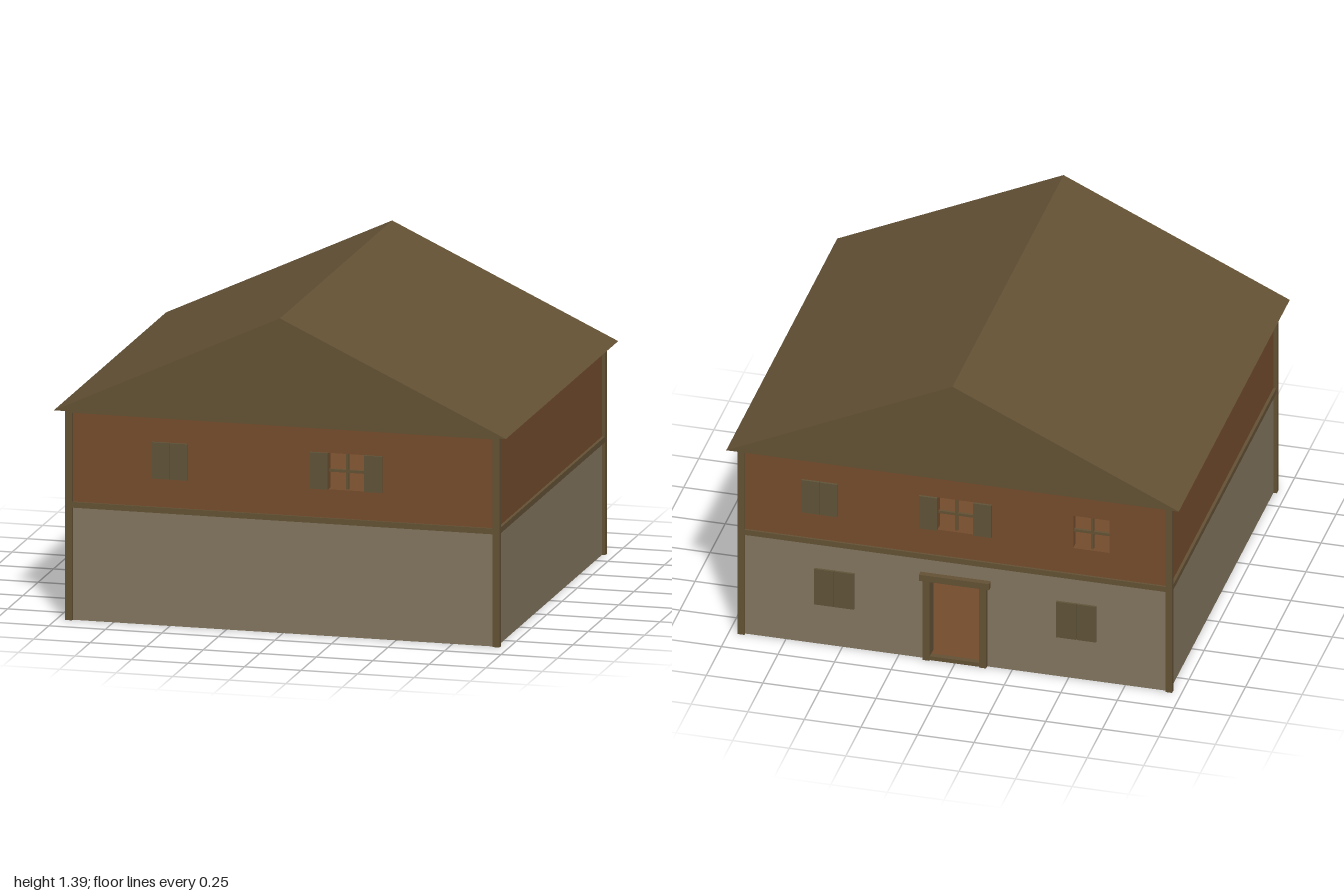
import * as THREE from 'three';

const mat = (name, hex) => {
  const m = new THREE.MeshStandardMaterial({ color: hex });
  m.name = name;
  return m;
};

export function createModel() {
  const house = new THREE.Group();
  house.name = 'house';
  const brown = mat('brown planks', 0x744c2c);
  const stone = mat('stone plaster', 0x83765f);
  const timber = mat('timber and roof', 0x635134);
  const olive = mat('shutter olive', 0x605439);

  const add = (name, geometry, material) => {
    const mesh = new THREE.Mesh(geometry, material);
    mesh.name = name;
    house.add(mesh);
    return mesh;
  };
  // box given by its min and max along each axis
  const box = (name, material, x0, x1, y0, y1, z0, z1) => {
    const mesh = add(name, new THREE.BoxGeometry(x1 - x0, y1 - y0, z1 - z0), material);
    mesh.position.set((x0 + x1) / 2, (y0 + y1) / 2, (z0 + z1) / 2);
    return mesh;
  };
  const rect = (Type, x0, x1, y0, y1) => {
    const p = new Type();
    p.moveTo(x0, y0);
    p.lineTo(x1, y0);
    p.lineTo(x1, y1);
    p.lineTo(x0, y1);
    p.closePath();
    return p;
  };

  const X = 0.945, Z = 0.868, T = 0.04; // outer wall faces and wall thickness
  const MID = 0.5, TOP = 0.92;
  const WIN_Y = 0.725, HALF = 0.08;     // upper window centre height, half size

  // front or back wall with square openings
  const endWall = (name, material, side, y0, y1, holes) => {
    const shape = rect(THREE.Shape, -X, X, y0, y1);
    for (const h of holes) shape.holes.push(rect(THREE.Path, ...h));
    const mesh = add(name, new THREE.ExtrudeGeometry(shape, { depth: T, bevelEnabled: false }), material);
    mesh.position.z = side > 0 ? Z - T : -Z;
  };
  const windowHole = (x) => [x - HALF, x + HALF, WIN_Y - HALF, WIN_Y + HALF];
  endWall('upperFrontWall', brown, 1, MID, TOP, [windowHole(0.28)]);
  endWall('upperBackWall', brown, -1, MID, TOP, [windowHole(0), windowHole(-0.6)]);
  endWall('lowerFrontWall', stone, 1, 0, MID, []);

  // lower back wall leaves the doorway open down to the ground
  const back = new THREE.Shape([
    [-X, 0], [-0.12, 0], [-0.12, 0.4], [0.12, 0.4], [0.12, 0], [X, 0], [X, MID], [-X, MID],
  ].map(([x, y]) => new THREE.Vector2(x, y)));
  add('lowerBackWall', new THREE.ExtrudeGeometry(back, { depth: T, bevelEnabled: false }), stone)
    .position.z = -Z;

  // plain side walls and corner posts
  for (const s of [-1, 1]) {
    const a = Math.min(s * X, s * (X - T)), b = Math.max(s * X, s * (X - T));
    box('lowerSideWall', stone, a, b, 0, MID, -Z + T, Z - T);
    box('upperSideWall', brown, a, b, MID, TOP, -Z + T, Z - T);
    for (const t of [-1, 1]) {
      const post = box('cornerPost', timber, -0.015, 0.015, 0, TOP + 0.002, -0.0125, 0.0125);
      post.position.x = s * 0.945;
      post.position.z = t * 0.8675;
    }
  }

  // horizontal beams around the house
  for (const [y0, y1] of [[0.495, 0.52], [0.912, 0.922]]) {
    for (const s of [-1, 1]) {
      box('endBeam', timber, -0.93, 0.93, y0, y1, s * 0.867 - 0.011, s * 0.867 + 0.011);
      box('sideBeam', timber, s * 0.945 - 0.013, s * 0.945 + 0.013, y0, y1, -0.855, 0.855);
    }
  }

  // floors
  box('groundFloor', brown, -X + T, X - T, 0.002, 0.02, -Z + T, Z - T);
  box('doorSill', brown, -0.12, 0.12, 0.002, 0.02, -Z, -Z + T);
  box('upperFloor', brown, -X + T, X - T, 0.48, 0.51, -Z + T, Z - T);

  // gabled roof as a solid prism
  const gable = new THREE.Shape([
    new THREE.Vector2(-1, 0.928), new THREE.Vector2(1, 0.928), new THREE.Vector2(0, 1.395),
  ]);
  add('roof', new THREE.ExtrudeGeometry(gable, { depth: 1.84, bevelEnabled: false }), timber)
    .position.z = -0.92;

  // one shutter leaf lying against the front (side 1) or back (side -1) wall
  const leaf = (side, x0, x1, y0, y1) => {
    const z = side * (Z + 0.004);
    box('shutter', olive, x0, x1, y0, y1, z - 0.006, z + 0.006);
  };
  const closedShutters = (side, x, y, h) => {
    leaf(side, x - h, x - 0.001, y - h, y + h);
    leaf(side, x + 0.001, x + h, y - h, y + h);
  };
  const openWindow = (side, x, shutters) => {
    const z = side * (Z - 0.02), b = 0.006;
    box('windowBar', timber, x - b, x + b, WIN_Y - HALF, WIN_Y + HALF, z - b, z + b);
    box('windowBar', timber, x - HALF, x + HALF, WIN_Y - b, WIN_Y + b, z - b, z + b);
    if (!shutters) return;
    leaf(side, x - 2 * HALF, x - HALF, WIN_Y - HALF, WIN_Y + HALF);
    leaf(side, x + HALF, x + 2 * HALF, WIN_Y - HALF, WIN_Y + HALF);
  };
  closedShutters(1, -0.5, WIN_Y, HALF);
  openWindow(1, 0.28, true);
  closedShutters(-1, 0.6, WIN_Y, HALF);
  openWindow(-1, 0, true);
  openWindow(-1, -0.6, false);
  closedShutters(-1, 0.535, 0.285, 0.088);
  closedShutters(-1, -0.535, 0.285, 0.088);

  // door frame on the back
  for (const s of [-1, 1]) {
    box('doorJamb', timber, s * 0.125 - 0.015, s * 0.125 + 0.015, 0.002, 0.4, -0.89, -0.82);
  }
  box('doorLintel', timber, -0.155, 0.155, 0.395, 0.425, -0.895, -0.82);
  box('doorStep', timber, -0.11, 0.11, 0.003, 0.022, -0.885, -0.86);

  return house;
}
